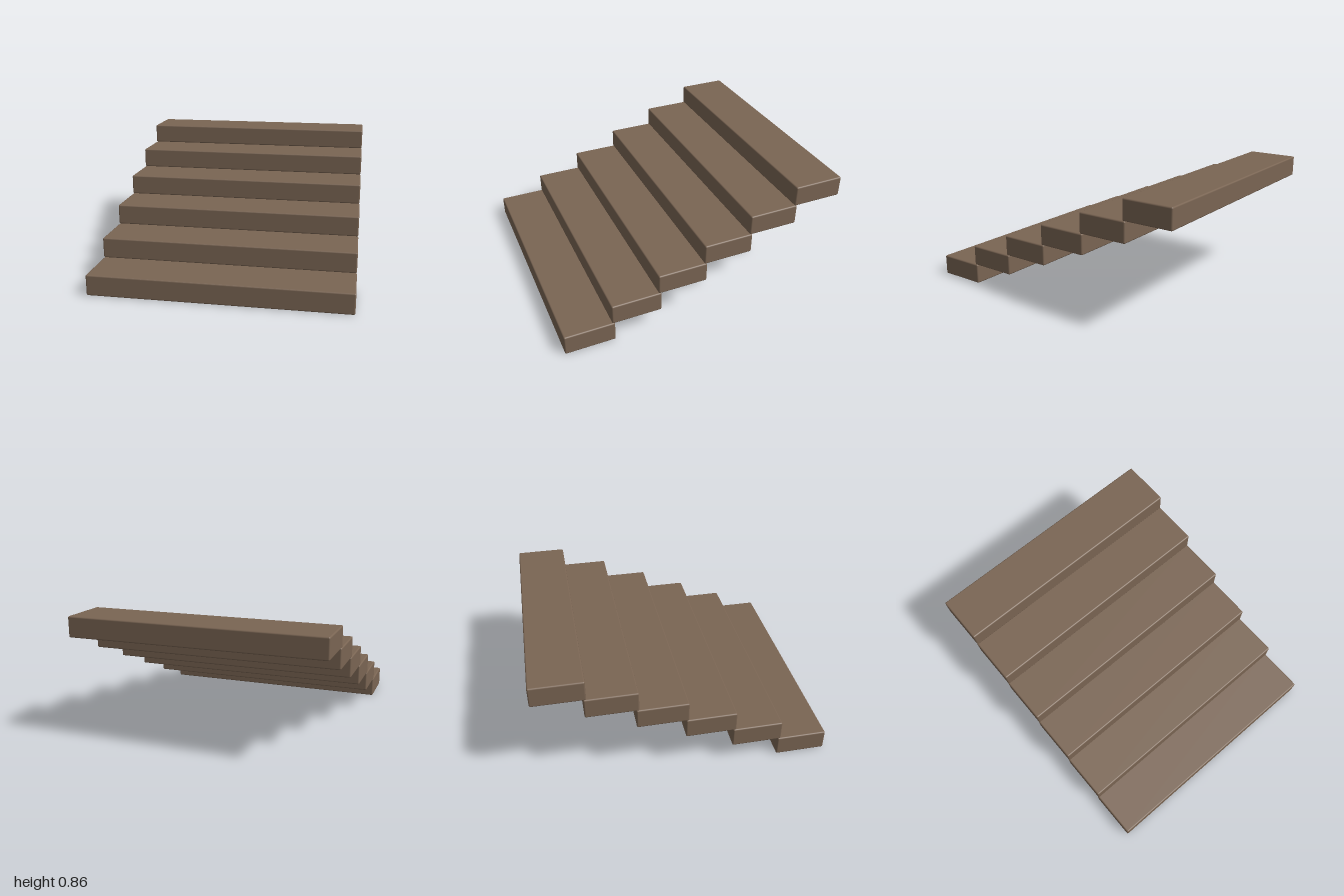
import * as THREE from 'three';
import { RoundedBoxGeometry } from 'three/addons/geometries/RoundedBoxGeometry.js';

const STEPS = 6;
const WIDTH = 1.745;
const RISE = 0.143;
const DEPTH = 0.35;
const RUN = (2 - DEPTH) / (STEPS - 1); // treads overlap slightly in depth

export function createModel() {
  const group = new THREE.Group();
  group.name = 'stairs';

  const wood = new THREE.MeshStandardMaterial({ color: 0x7a6553 });
  wood.name = 'brown wood';

  // Softly bevelled slab shared by every step
  const slab = new RoundedBoxGeometry(WIDTH, RISE, DEPTH, 2, 0.01);

  // Steps climb from the front to the back
  for (let i = 0; i < STEPS; i++) {
    const step = new THREE.Mesh(slab, wood);
    step.name = `step${i + 1}`;
    step.position.set(0, RISE * (i + 0.5), 1 - DEPTH / 2 - RUN * i);
    group.add(step);
  }
  return group;
}
